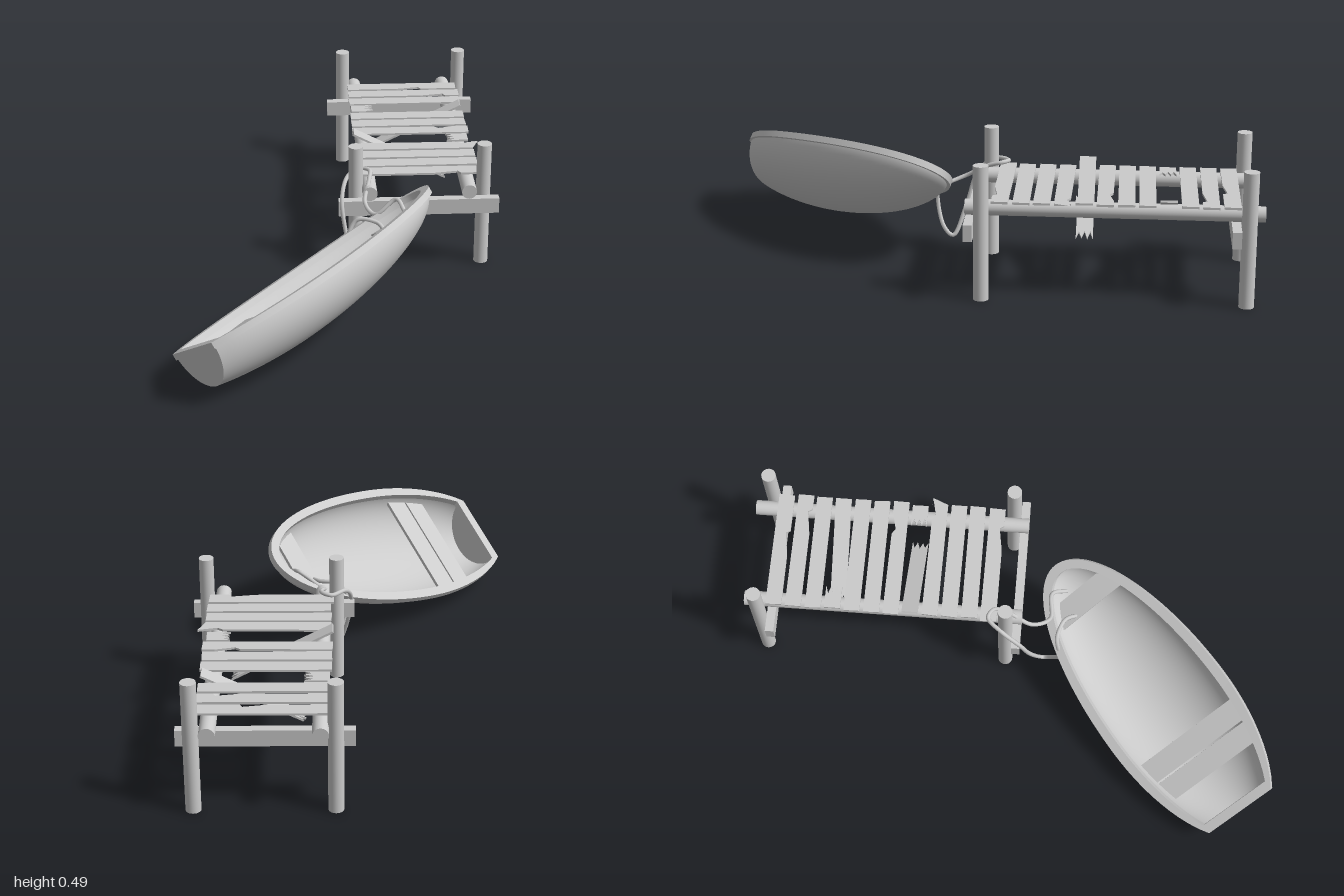
import * as THREE from 'three';
import { toCreasedNormals } from 'three/addons/utils/BufferGeometryUtils.js';

const material = new THREE.MeshStandardMaterial({ color: 0xcccccc });
const thin = new THREE.MeshStandardMaterial({ color: 0xcccccc, side: THREE.DoubleSide });

function add(parent, name, geometry, x = 0, y = 0, z = 0, mat = material) {
  const mesh = new THREE.Mesh(geometry, mat);
  mesh.name = name;
  mesh.position.set(x, y, z);
  parent.add(mesh);
  return mesh;
}

// Surface through a grid of points, fn(u, v) with u, v in 0..1
function grid(nu, nv, fn) {
  const pos = [], index = [];
  for (let i = 0; i <= nu; i++) for (let j = 0; j <= nv; j++) pos.push(...fn(i / nu, j / nv));
  for (let i = 0; i < nu; i++) for (let j = 0; j < nv; j++) {
    const a = i * (nv + 1) + j, b = a + nv + 1;
    index.push(a, b, a + 1, b, b + 1, a + 1);
  }
  const g = new THREE.BufferGeometry();
  g.setAttribute('position', new THREE.Float32BufferAttribute(pos, 3));
  g.setIndex(index);
  g.computeVertexNormals();
  return g;
}

// ---------- Jetty ----------
let seed = 7;
const rand = () => (seed = (seed * 16807) % 2147483647) / 2147483647 - 0.5;

// Flat board centred on its own origin; ends may be torn, edges may carry a split
function boardGeometry(length, width, { tornLeft, tornRight, split } = {}) {
  const a = length / 2, b = width / 2;
  const end = (torn, side) => {
    const n = torn ? 6 : 1, pts = [];
    for (let i = 0; i <= n; i++) {
      const depth = torn ? (i % 2 ? 0.03 : 0) + rand() * 0.012 : rand() * 0.004;
      pts.push([side * (a - depth), side * (-b + (2 * b * i) / n)]);
    }
    return pts;
  };
  const pts = [...end(tornRight, 1)];
  if (split > 0) pts.push([split * a + 0.07, b], [split * a, b * 0.45], [split * a - 0.02, b * 0.9]);
  pts.push(...end(tornLeft, -1));
  if (split < 0) pts.push([-split * a - 0.09, -b * 0.95], [-split * a, -b * 0.45], [-split * a + 0.01, -b]);
  const shape = new THREE.Shape(pts.map(p => new THREE.Vector2(...p)));
  const g = new THREE.ExtrudeGeometry(shape, { depth: 0.008, bevelEnabled: false });
  return g.translate(0, 0, -0.004).rotateX(-Math.PI / 2);
}

function createJetty() {
  const jetty = new THREE.Group();
  jetty.name = 'jetty';
  for (const z of [-0.02, -0.943]) {
    for (const x of [0.066, 0.545]) {
      add(jetty, 'post', new THREE.CylinderGeometry(0.027, 0.027, 0.49, 24), x, 0.245, z);
    }
  }
  for (const z of [0.022, -0.9]) add(jetty, 'crossBeam', new THREE.BoxGeometry(0.6, 0.06, 0.032), 0.3, 0.26, z);
  for (const x of [0.116, 0.487]) {
    add(jetty, 'rail', new THREE.CylinderGeometry(0.028, 0.028, 1.04, 24).rotateX(Math.PI / 2), x, 0.32, -0.48);
  }

  // Deck boards, two of them snapped
  const splits = { 0: -0.3, 1: -0.7, 6: 0.5, 8: 0.8, 11: -0.65 };
  for (let i = 0; i < 12; i++) {
    const z = -0.886 + i * 0.0729;
    if (i === 3) {
      add(jetty, 'boardStub', boardGeometry(0.09, 0.06, { tornRight: true }), 0.13, 0.352, z);
      const piece = add(jetty, 'fallenBoard', boardGeometry(0.393, 0.06, { tornLeft: true }), 0.349, 0.283, z);
      piece.rotation.z = 0.46;
    } else if (i === 7) {
      add(jetty, 'boardStub', boardGeometry(0.085, 0.06, { tornLeft: true }), 0.482, 0.352, z);
      const piece = add(jetty, 'fallenBoard', boardGeometry(0.407, 0.06, { tornRight: true }), 0.258, 0.29, z);
      piece.rotation.z = -0.485;
    } else {
      const board = add(jetty, 'deckBoard', boardGeometry(0.452 + rand() * 0.01, 0.059, { split: splits[i] }),
        0.308 + rand() * 0.006, 0.352, z);
      board.rotation.y = rand() * 0.012;
    }
  }
  return jetty;
}

// ---------- Boat: local x forward from the transom, y up from the rim, z sideways ----------
const MID = 0.45;
const bow = off => MID + 0.685 - off;
const halfWidth = (s, off) => {
  const k = (s - MID) / (s > MID ? 0.685 - off : 0.54);
  return (0.266 - off) * Math.sqrt(Math.max(0, 1 - k * k));
};
const depth = (s, off) => {
  const k = (s - 0.4) / (s > 0.4 ? bow(off) - 0.4 : 0.65);
  return (0.192 - off) * Math.sqrt(Math.max(0, 1 - k * k));
};
const sheer = s => -0.012 * Math.sin((Math.PI * s) / 1.14);
const hullPoint = (s, angle, off, r = 1) =>
  [s, sheer(s) - depth(s, off) * r * Math.sin(angle), halfWidth(s, off) * r * Math.cos(angle)];

function createBoat() {
  const boat = new THREE.Group();
  boat.name = 'boat';

  // Outer and inner skins with their stern walls
  for (const [name, off, start] of [['hull', 0.012, 0.006], ['hullLining', 0.028, 0.022]]) {
    add(boat, name, grid(48, 32, (u, v) =>
      hullPoint(start + (bow(off) - start) * Math.sin((u * Math.PI) / 2), v * Math.PI, off)), 0, 0, 0, thin);
    add(boat, name + 'Transom', grid(32, 1, (u, v) => hullPoint(start, u * Math.PI, off, v)), 0, 0, 0, thin);
  }

  // Rim: a rectangular section swept round the whole outline
  const section = [[0, 0.008], [0.036, 0.008], [0.036, -0.016], [0, -0.016], [0, 0.008]];
  const rim = grid(97, 4, (u, v) => {
    const [off, y] = section[Math.round(v * 4)];
    const i = Math.round(u * 97) % 97;
    const t = 1 - Math.abs(i - 48) / 48;
    const s = off + (bow(off) - off) * Math.sin((t * Math.PI) / 2);
    return [s, y + sheer(s), halfWidth(s, off) * (i < 48 ? 1 : -1)];
  });
  add(boat, 'rim', toCreasedNormals(rim, 0.7), 0, 0, 0, thin);

  // Seats cut to the shape of the inside
  for (const [name, s0, s1] of [['sternSeat', 0.172, 0.255], ['middleSeat', 0.262, 0.35], ['bowSeat', 0.93, 1.02]]) {
    const y = -0.05, side = [], other = [];
    for (let i = 0; i <= 6; i++) {
      const s = s0 + ((s1 - s0) * i) / 6;
      const fall = (-y + sheer(s)) / depth(s, 0.03);
      const w = halfWidth(s, 0.03) * Math.sqrt(Math.max(0.05, 1 - fall * fall));
      side.push(new THREE.Vector2(s, -w));
      other.unshift(new THREE.Vector2(s, w));
    }
    const g = new THREE.ExtrudeGeometry(new THREE.Shape([...side, ...other]), { depth: 0.012, bevelEnabled: false });
    add(boat, name, g.rotateX(-Math.PI / 2), 0, y - 0.012, 0);
  }

  // Heeled over, bow lifted towards the jetty
  const forward = new THREE.Vector3(0.734, 0.189, -0.653).normalize();
  const side = new THREE.Vector3(0.469, 0.558, 0.685);
  side.addScaledVector(forward, -side.dot(forward)).normalize();
  const up = new THREE.Vector3().crossVectors(side, forward);
  boat.quaternion.setFromRotationMatrix(new THREE.Matrix4().makeBasis(forward, up, side));
  boat.position.set(-0.53, 0.18, 0.89);
  return boat;
}

// ---------- Mooring rope: from the bow, round the rail and post, slack back to the boat ----------
function createRope() {
  const points = [
    [0.23, 0.33, 0.2], [0.205, 0.35, 0.145], [0.13, 0.29, 0.145], [0.095, 0.305, 0.08], [0.115, 0.355, -0.01],
    [0.12, 0.37, -0.065], [0.085, 0.368, -0.085], [0.035, 0.36, -0.03], [0.012, 0.3, 0.035], [0.025, 0.18, 0.075],
    [0.058, 0.06, 0.125], [0.05, 0.09, 0.16], [0.022, 0.2, 0.187], [0.06, 0.285, 0.175], [0.13, 0.285, 0.2],
    [0.16, 0.27, 0.25],
  ].map(p => new THREE.Vector3(...p));
  return new THREE.TubeGeometry(new THREE.CatmullRomCurve3(points), 160, 0.008, 8);
}

export function createModel() {
  const model = new THREE.Group();
  model.name = 'jettyWithRowingBoat';
  model.add(createJetty(), createBoat());
  add(model, 'mooringRope', createRope());
  return model;
}
